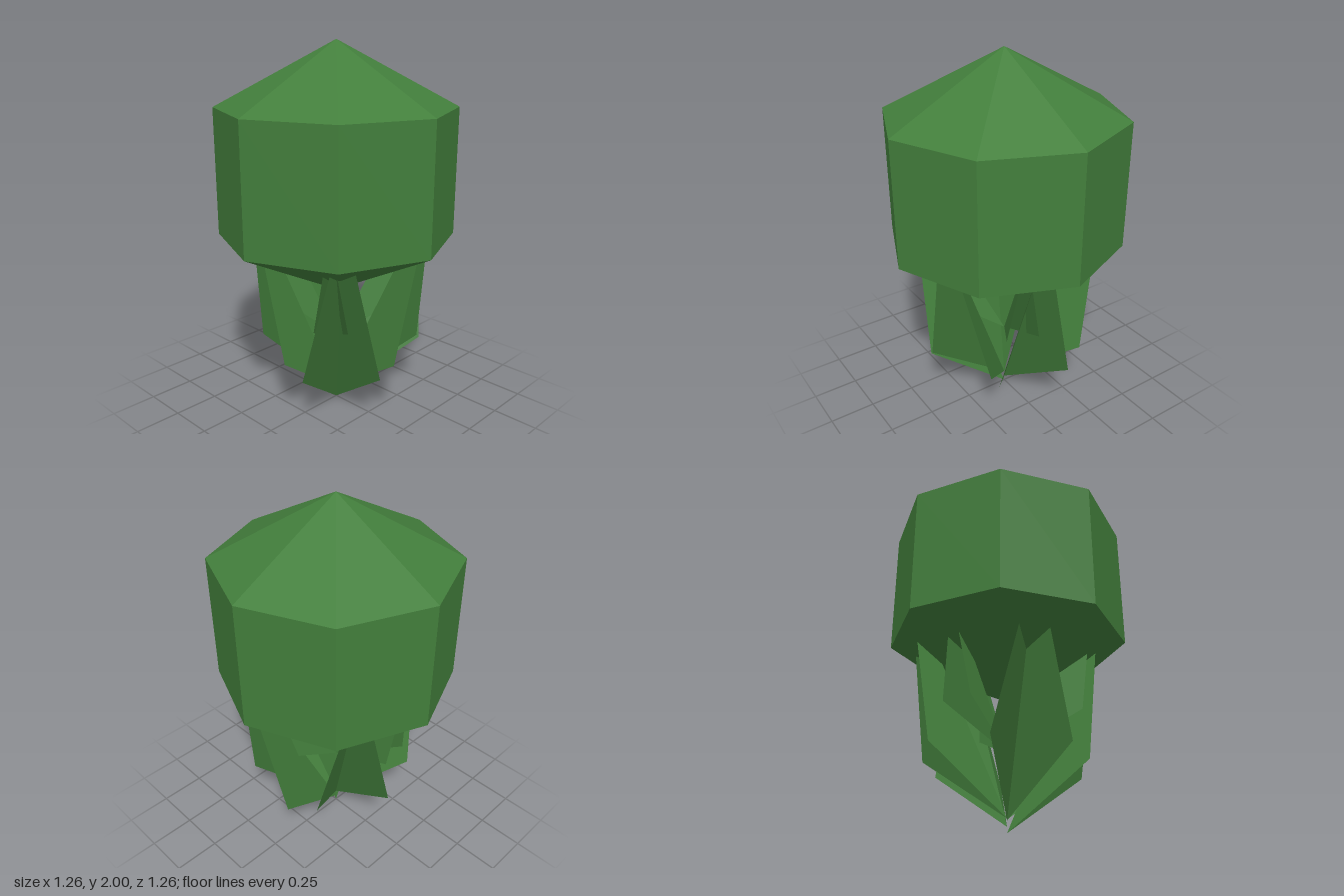
import * as THREE from 'three';

const foliage = new THREE.MeshStandardMaterial({ color: 0x437f3c, flatShading: true, side: THREE.DoubleSide });
foliage.name = 'leaf green';

// A blade folded into a V: two triangles sharing the inner crease from base to tip.
function bladeGeometry(reach, halfWidth, rise, tipReach, tipRise) {
  const base = [0, 0, 0];
  const tip = [0, tipRise, tipReach];
  const left = [halfWidth, rise, reach];
  const right = [-halfWidth, rise, reach];
  const geometry = new THREE.BufferGeometry();
  const corners = [base, left, tip, base, tip, right].flat();
  geometry.setAttribute('position', new THREE.Float32BufferAttribute(corners, 3));
  geometry.computeVertexNormals();
  return geometry;
}

function addLeaf(parent, name, geometry, heading, y) {
  const leaf = new THREE.Mesh(geometry, foliage);
  leaf.name = name;
  leaf.rotation.y = THREE.MathUtils.degToRad(heading);
  leaf.position.y = y;
  parent.add(leaf);
}

export function createModel() {
  const model = new THREE.Group();
  model.name = 'plant';

  // Eight-sided head with a pointed top and underside
  const profile = [[0, 0.665], [0.632, 0.99], [0.632, 1.665], [0, 2]]
    .map(([r, y]) => new THREE.Vector2(r, y));
  const head = new THREE.Mesh(new THREE.LatheGeometry(profile, 8), foliage);
  head.name = 'head';
  model.add(head);

  const leaves = new THREE.Group();
  leaves.name = 'leaves';

  // Five large blades: [heading in degrees, base height, reach]
  const outer = [[336, 0.06, 0.37], [48, 0, 0.39], [111, 0.065, 0.41], [167, 0.03, 0.435], [238, 0.07, 0.41]];
  for (const [heading, y, reach] of outer) {
    addLeaf(leaves, 'outerLeaf', bladeGeometry(reach, 0.2, 0.31, reach * 1.28, 1.2), heading, y);
  }

  // Three narrow blades higher up the middle
  const innerBlade = bladeGeometry(0.39, 0.087, 0.19, 0.45, 0.72);
  for (const heading of [40, 160, 280]) addLeaf(leaves, 'innerLeaf', innerBlade, heading, 0.39);

  model.add(leaves);
  return model;
}
